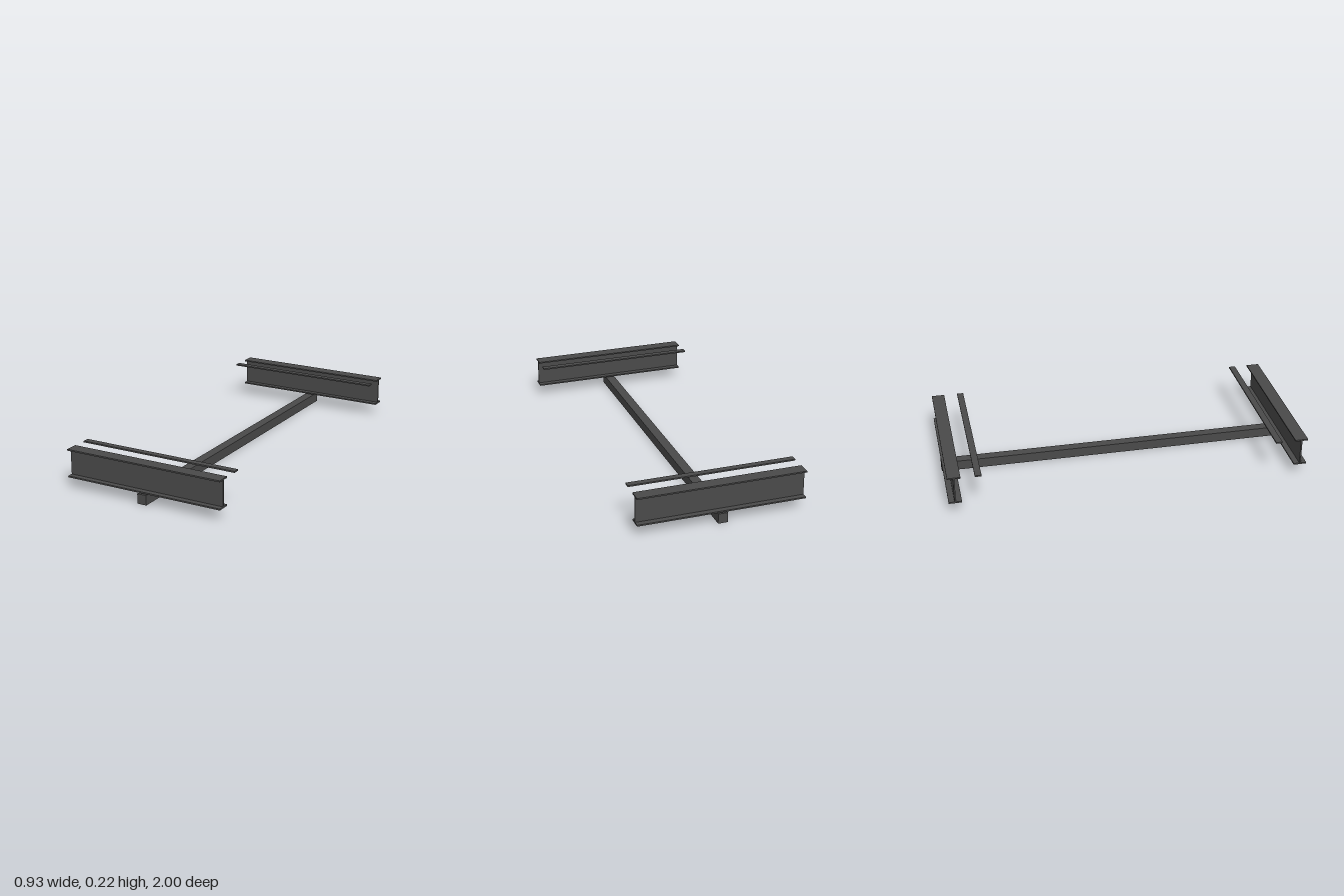
import * as THREE from 'three';

const LENGTH = 0.926;   // beam and strip length along x
const BOTTOM = 0.062;   // underside of the I-beams
const TOP = 0.22;       // top of the I-beams and strips
const PLATE = 0.008;    // flange, web and strip thickness

export function createModel() {
  const model = new THREE.Group();
  const steel = new THREE.MeshStandardMaterial({ color: 0x4a4a4a });

  const addBox = (parent, name, size, position) => {
    const mesh = new THREE.Mesh(new THREE.BoxGeometry(...size), steel);
    mesh.name = name;
    mesh.position.set(...position);
    parent.add(mesh);
  };

  // I-shaped cross-section, extruded along x
  const iBeamGeometry = () => {
    const w = 0.036, t = PLATE / 2;
    const half = [
      [w, BOTTOM], [w, BOTTOM + PLATE], [t, BOTTOM + PLATE],
      [t, TOP - PLATE], [w, TOP - PLATE], [w, TOP],
    ];
    const mirrored = half.map(([x, y]) => [-x, y]).reverse();
    const shape = new THREE.Shape([...half, ...mirrored].map(([x, y]) => new THREE.Vector2(x, y)));
    return new THREE.ExtrudeGeometry(shape, { depth: LENGTH, bevelEnabled: false })
      .translate(0, 0, -LENGTH / 2)
      .rotateY(Math.PI / 2);
  };

  // Long square bar running front to back
  addBox(model, 'centreBar', [0.054, 0.055, 2], [0, 0.0275, 0]);

  // I-beam and separate flat strip at each end
  for (const [end, side] of [['front', 1], ['back', -1]]) {
    const beam = new THREE.Mesh(iBeamGeometry(), steel);
    beam.name = `${end}IBeam`;
    beam.position.z = side * 0.964;
    model.add(beam);
    addBox(model, `${end}Strip`, [LENGTH, PLATE, 0.036], [0, TOP - PLATE / 2, side * 0.834]);
  }

  return model;
}
